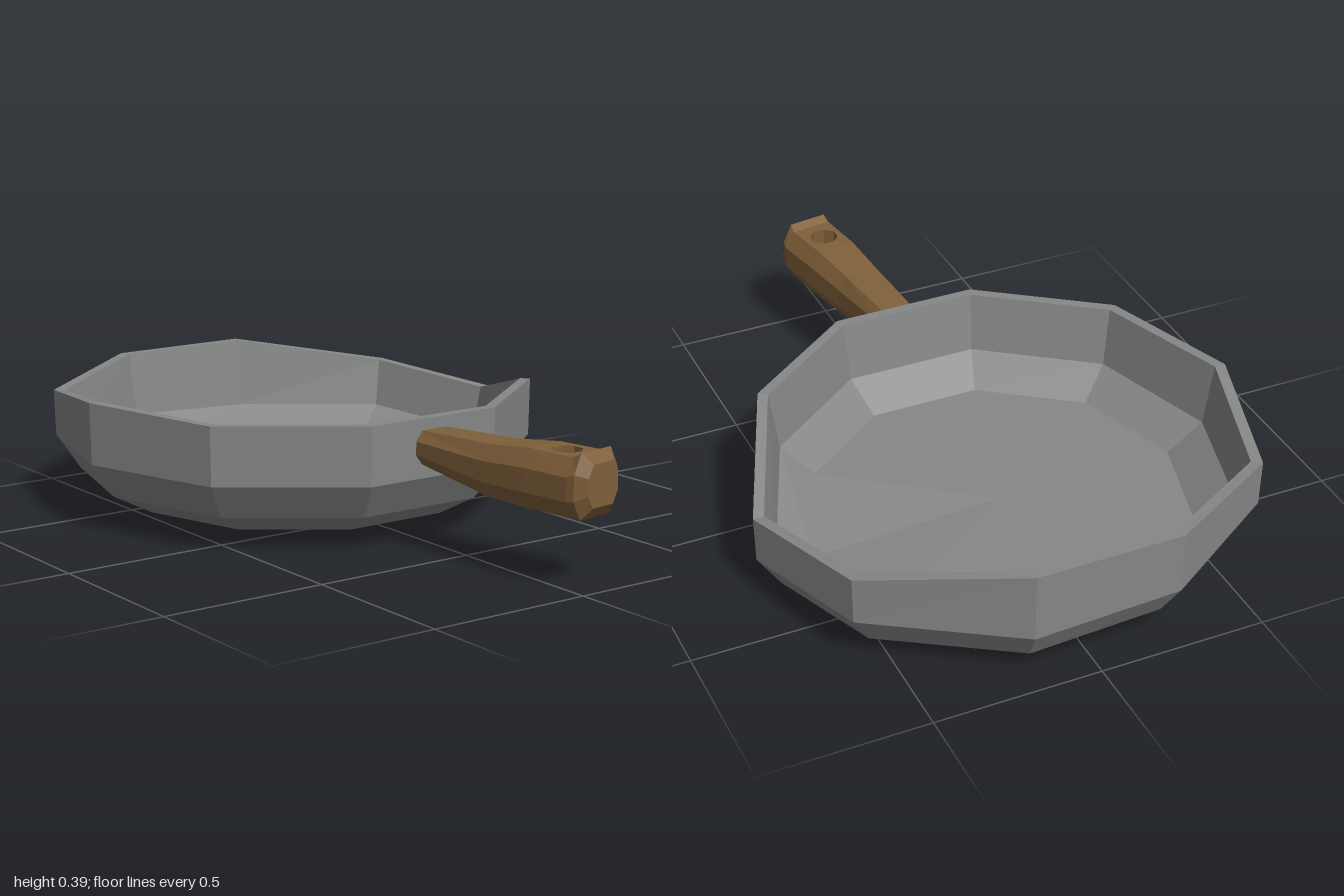
import * as THREE from 'three';

const steel = new THREE.MeshStandardMaterial({ color: 0x868887, flatShading: true });
steel.name = 'grey steel';
const wood = new THREE.MeshStandardMaterial({ color: 0x80603a, flatShading: true });
wood.name = 'brown wood';

// Skins a list of equal-sized rings and closes both ends; skip(ring, side) leaves openings.
function loft(rings, skip = () => false) {
  const pos = [];
  const tri = (...pts) => pts.forEach((p) => pos.push(p.x, p.y, p.z));
  const n = rings[0].length;
  for (let r = 0; r < rings.length - 1; r++) {
    for (let i = 0; i < n; i++) {
      if (skip(r, i)) continue;
      const j = (i + 1) % n, a = rings[r], b = rings[r + 1];
      tri(a[i], a[j], b[j]);
      tri(a[i], b[j], b[i]);
    }
  }
  [rings[0], rings[rings.length - 1]].forEach((ring, end) => {
    const c = new THREE.Vector3();
    ring.forEach((p) => c.addScaledVector(p, 1 / n));
    for (let i = 0; i < n; i++) {
      const j = (i + 1) % n;
      if (end) tri(c, ring[i], ring[j]);
      else tri(c, ring[j], ring[i]);
    }
  });
  const g = new THREE.BufferGeometry();
  g.setAttribute('position', new THREE.Float32BufferAttribute(pos, 3));
  g.computeVertexNormals();
  return g;
}

function part(geometry, material, name) {
  const m = new THREE.Mesh(geometry, material);
  m.name = name;
  return m;
}

// Ten-sided dented bowl: each column gives rim x, y, z and how far the wall sags.
function makePan() {
  const cz = -0.31;
  const columns = [
    [0.735, 0.268, -0.31, 0.08], [0.61, 0.31, -0.72, 0.04],
    [0.2, 0.38, -0.99, 0.035], [-0.24, 0.38, -0.99, 0.015],
    [-0.62, 0.345, -0.75, 0], [-0.735, 0.39, -0.33, 0],
    [-0.6, 0.38, 0.105, 0], [-0.235, 0.37 + 0.01, 0.37, 0],
    [0.205, 0.38, 0.37, 0], [0.56, 0.38, 0.105, 0],
  ];
  // scale from the centre, height (null = rim height), share of the sag
  const profile = [
    [0.73, 0.035, 0.44], [0.9, 0.1, 1], [0.995, 0.205, 1], [1, null, 0],
    [0.955, null, 0], [0.915, 0.2, 0.9], [0.765, 0.12, 0.5],
  ];
  const rings = profile.map(([s, h, sag]) => columns.map(([x, y, z, dip]) =>
    new THREE.Vector3(x * s, h === null ? y : h - dip * sag, cz + (z - cz) * s)));
  return part(loft(rings), steel, 'pan');
}

// Curved eight-sided handle with a hanging hole.
function makeHandle() {
  const group = new THREE.Group();
  group.name = 'handle';
  const octagon = [[1, -0.4], [1, 0.4], [0.68, 1], [-0.68, 1],
    [-1, 0.4], [-1, -0.4], [-0.68, -1], [0.68, -1]];
  // z, centre x, half width, bottom y, top y, skew
  const sections = [
    [0.35, -0.015, 0.065, 0.25, 0.345, 0], [0.64, 0.015, 0.078, 0.205, 0.355, 0.08],
    [0.79, 0.038, 0.088, 0.202, 0.37, 0.12], [0.94, 0.063, 0.092, 0.202, 0.37, 0.15],
    [0.965, 0.066, 0.088, 0.2, 0.385, 0.15], [0.993, 0.069, 0.06, 0.235, 0.355, 0.15],
  ];
  const rings = sections.map(([z, cx, w, y0, y1, k]) => octagon.map(([u, v]) =>
    new THREE.Vector3(cx + u * w, (y0 + y1) / 2 + v * (y1 - y0) / 2, z - k * u * w)));
  const holeStart = 2;
  group.add(part(loft(rings, (r, i) => r === holeStart && (i === 2 || i === 6)), wood, 'grip'));

  // Top and bottom panels pierced by the hole
  const hx = 0.049, hz = 0.867, hr = 0.045, bottom = 0.202, top = 0.37;
  const a = rings[holeStart], b = rings[holeStart + 1];
  for (const isTop of [true, false]) {
    const [p, q] = isTop ? [2, 3] : [7, 6];
    const shape = new THREE.Shape([a[q], a[p], b[p], b[q]].map((v) => new THREE.Vector2(v.x, v.z)));
    const hole = new THREE.Path();
    for (let i = 0; i < 8; i++) {
      const t = (i + 0.5) * Math.PI / 4;
      const x = hx + hr * Math.cos(t), z = hz + hr * Math.sin(t);
      if (i) hole.lineTo(x, z);
      else hole.moveTo(x, z);
    }
    hole.closePath();
    shape.holes.push(hole);
    const g = new THREE.ShapeGeometry(shape);
    const pos = g.attributes.position;
    for (let i = 0; i < pos.count; i++) {
      pos.setXYZ(i, pos.getX(i), isTop ? top : bottom, pos.getY(i));
    }
    if (isTop) g.index.array.reverse();
    g.computeVertexNormals();
    group.add(part(g, wood, isTop ? 'topPanel' : 'bottomPanel'));
  }

  // Inner wall of the hole, turned to face inward
  const wall = new THREE.CylinderGeometry(hr, hr, top - bottom, 8, 1, true, Math.PI / 8);
  wall.index.array.reverse();
  wall.computeVertexNormals();
  wall.translate(hx, (top + bottom) / 2, hz);
  group.add(part(wall, wood, 'holeWall'));
  return group;
}

export function createModel() {
  const model = new THREE.Group();
  model.name = 'fryingPan';
  model.add(makePan(), makeHandle());
  return model;
}
